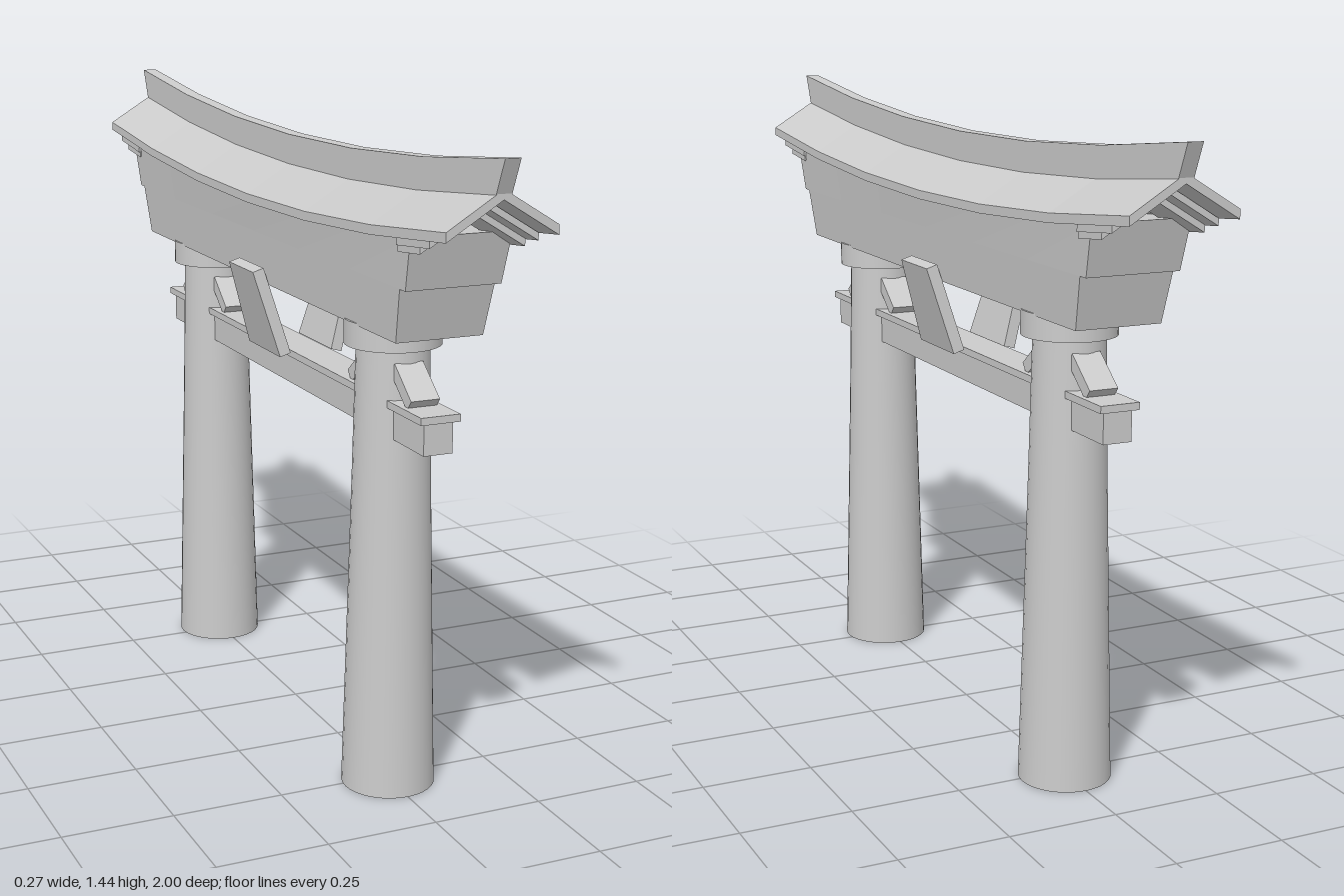
import * as THREE from 'three';

const flat = new THREE.MeshStandardMaterial({ color: 0xcccccc, flatShading: true });
const smooth = new THREE.MeshStandardMaterial({ color: 0xcccccc, side: THREE.DoubleSide });

// Move every vertex by a rule
function deform(geometry, rule) {
  const p = geometry.attributes.position;
  const v = new THREE.Vector3();
  for (let i = 0; i < p.count; i++) {
    rule(v.fromBufferAttribute(p, i));
    p.setXYZ(i, v.x, v.y, v.z);
  }
  geometry.computeVertexNormals();
  return geometry;
}

// Upward sweep of the roof toward both ends
const sag = (z) => 0.065 * z * z;

function add(parent, name, geometry, material = flat) {
  const mesh = new THREE.Mesh(geometry, material);
  mesh.name = name;
  parent.add(mesh);
  return mesh;
}

// Gabled slab running along z from z0 to z1, bent with the roof
function gable(halfWidth, apex, thickness, z0, z1, steps) {
  const eave = apex - halfWidth * 0.61;
  const shape = new THREE.Shape([
    [0, apex], [-halfWidth, eave], [-halfWidth, eave - thickness],
    [0, apex - thickness], [halfWidth, eave - thickness], [halfWidth, eave],
  ].map(([x, y]) => new THREE.Vector2(x, y)));
  const g = new THREE.ExtrudeGeometry(shape, { depth: z1 - z0, steps, bevelEnabled: false });
  g.translate(0, 0, z0);
  return deform(g, (v) => { v.y += sag(v.z); });
}

// Beam with sloping sides and ends; bend lifts its top edge with the roof
function taperedBeam(y0, y1, bottom, top, bend) {
  const g = new THREE.BoxGeometry(2, 1, 2, 1, 1, 6);
  return deform(g, (v) => {
    const upper = v.y > 0;
    const [hx, hz] = upper ? top : bottom;
    v.x *= hx;
    v.z *= hz;
    v.y = upper ? y1 + (bend ? sag(v.z) : 0) : y0;
  });
}

export function createModel() {
  const model = new THREE.Group();
  model.name = 'gate';

  // Pillars with collars and wedges
  const profile = [[0.103, 0], [0.094, 0.35], [0.085, 0.7], [0.078, 1.02]]
    .map(([r, y]) => new THREE.Vector2(r, y));
  for (const side of [1, -1]) {
    const z = side * 0.515;
    add(model, 'pillar', new THREE.LatheGeometry(profile, 32), smooth).position.z = z;
    add(model, 'collar', new THREE.CylinderGeometry(0.104, 0.104, 0.055, 32),
      new THREE.MeshStandardMaterial({ color: 0xcccccc })).position.set(0, 1.0225, z);
    for (const dir of [1, -1]) {
      const wedge = add(model, 'wedge', new THREE.BoxGeometry(0.066, 0.03, 0.1));
      wedge.position.set(0, 0.925, z + dir * 0.105);
      wedge.rotation.x = dir * 0.68;
    }
  }

  // Tie beam and its cap board
  add(model, 'tieBeam', new THREE.BoxGeometry(0.066, 0.07, 1.455)).position.y = 0.84;
  add(model, 'tieBeamCap', new THREE.BoxGeometry(0.09, 0.016, 1.475)).position.y = 0.881;

  // Lintel beams
  add(model, 'lowerLintel', taperedBeam(1.045, 1.16, [0.098, 0.725], [0.106, 0.755], false));
  add(model, 'upperLintel', taperedBeam(1.16, 1.228, [0.106, 0.78], [0.112, 0.81], true));

  // Roof with stepped layers under each end
  add(model, 'roof', gable(0.12, 1.318, 0.02, -0.97, 0.97, 6));
  for (const side of [1, -1]) {
    [[0.117, 1.298, 0.9], [0.114, 1.283, 0.855]].forEach(([half, apex, end]) => {
      const a = side * 0.76, b = side * end;
      add(model, 'roofEndLayer', gable(half, apex, 0.015, Math.min(a, b), Math.max(a, b), 1));
    });
  }

  // Ridge beam with raked ends
  const ridge = new THREE.BoxGeometry(0.034, 0.07, 2, 1, 1, 6);
  add(model, 'ridgeBeam', deform(ridge, (v) => {
    if (v.y < 0) v.z *= 0.968;
    v.y += 1.34 + sag(v.z);
  }));

  // Leaning tablets on both faces of the gate
  for (const side of [1, -1]) {
    const tablet = new THREE.BoxGeometry(0.026, 1, 2);
    add(model, 'tablet', deform(tablet, (v) => {
      const upper = v.y > 0;
      const outer = v.x * side > 0;
      v.z = v.z * (upper ? 0.073 : 0.094) - 0.004;
      v.y = (upper ? 1.08 : 0.882) + (outer ? -0.004 : 0.004);
      v.x = side * ((upper ? 0.122 : 0.064) + (outer ? 0.013 : -0.013));
    }));
  }

  return model;
}
